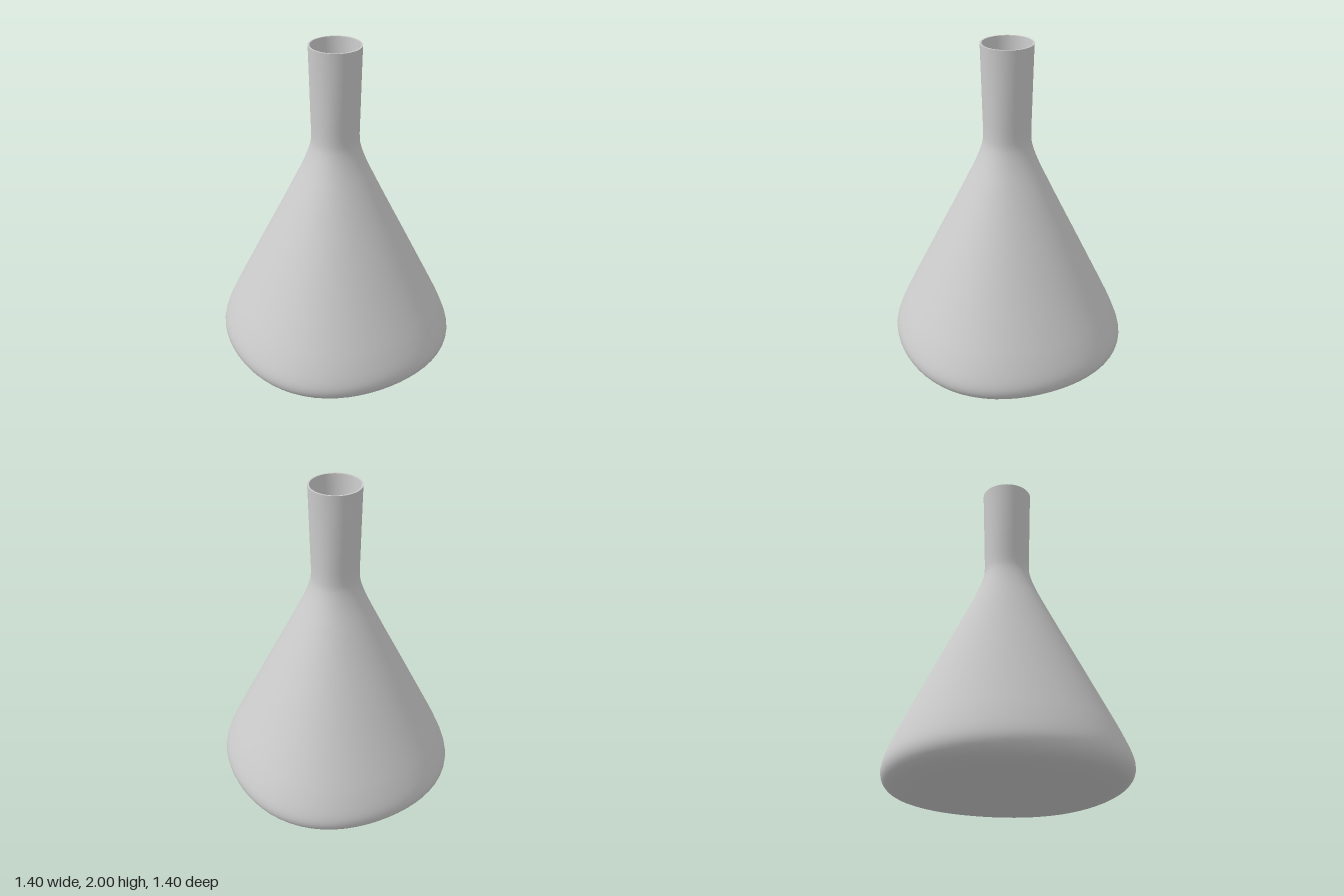
import * as THREE from 'three';
import { mergeVertices, toCreasedNormals } from 'three/addons/utils/BufferGeometryUtils.js';

const material = new THREE.MeshStandardMaterial({ color: 0xcccccc });

// Outer profile from the middle of the base up to the rim: [radius, height]
const OUTER = [
  [0, 0], [0.2, 0.003], [0.4, 0.01], [0.54, 0.022], [0.64, 0.05], [0.685, 0.085], [0.702, 0.135],
  [0.691, 0.2], [0.652, 0.3], [0.606, 0.4], [0.51, 0.6], [0.414, 0.8], [0.317, 1.0],
  [0.222, 1.2], [0.177, 1.3], [0.146, 1.39], [0.137, 1.46], [0.14, 1.6], [0.146, 1.8], [0.152, 2],
];
// Inner profile from the rim down to the floor
const INNER = [
  [0.142, 2], [0.13, 1.8], [0.121, 1.6], [0.116, 1.46], [0.126, 1.38], [0.157, 1.29], [0.2, 1.2],
  [0.295, 1.0], [0.392, 0.8], [0.488, 0.6], [0.584, 0.4], [0.63, 0.3], [0.668, 0.2],
  [0.678, 0.14], [0.66, 0.095], [0.6, 0.06], [0.5, 0.042], [0.3, 0.028], [0, 0.022],
];

const toPoints = (list) => list.map(([r, y]) => new THREE.Vector2(r, y));

// Smooth a profile through its points
const smooth = (list) => new THREE.SplineCurve(toPoints(list)).getPoints(list.length * 3)
  .map((p) => new THREE.Vector2(Math.max(0, p.x), THREE.MathUtils.clamp(p.y, 0, 2)));

// Push the diagonals out a little so the round body is softly squared, fading to a round rim
function softSquare(geometry) {
  const pos = geometry.attributes.position;
  for (let i = 0; i < pos.count; i++) {
    const x = pos.getX(i), y = pos.getY(i), z = pos.getZ(i);
    const amount = 0.035 * (1 - THREE.MathUtils.smoothstep(y, 1.45, 2));
    const k = 1 + amount * (1 - Math.cos(4 * Math.atan2(z, x))) / 2;
    pos.setXYZ(i, x * k, y, z * k);
  }
}

export function createModel() {
  const group = new THREE.Group();
  group.name = 'flask';

  // One continuous glass wall: outside, rim, inside and floor
  let geometry = new THREE.LatheGeometry([...smooth(OUTER), ...smooth(INNER)], 64);
  geometry.deleteAttribute('uv');
  geometry.deleteAttribute('normal');
  softSquare(geometry);
  geometry = toCreasedNormals(mergeVertices(geometry, 1e-5), Math.PI / 4);

  const wall = new THREE.Mesh(geometry, material);
  wall.name = 'flaskWall';
  group.add(wall);
  return group;
}
